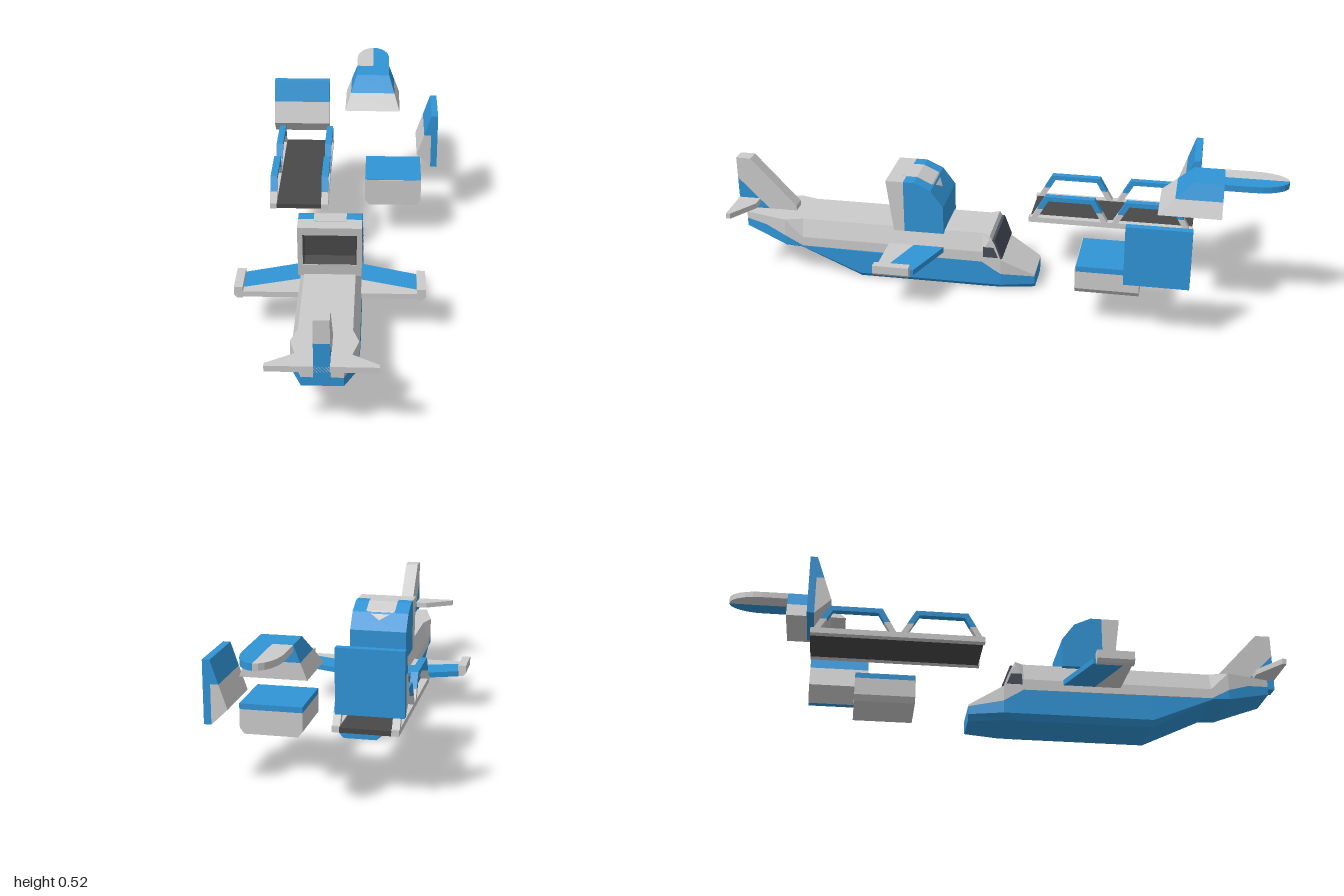
import * as THREE from 'three';

const mat = (color) => new THREE.MeshStandardMaterial({ color, flatShading: true });
const grey = mat(0xcccccc), blue = mat(0x3094d6), dark = mat(0x484848), glass = mat(0x474c58);

// Skin between matching convex cross-sections, capped at both ends
function loft(parent, name, material, sections) {
  const tris = [], n = sections[0].length, last = sections[sections.length - 1], first = sections[0];
  for (let k = 0; k + 1 < sections.length; k++)
    for (let i = 0; i < n; i++) {
      const j = (i + 1) % n, a = sections[k], b = sections[k + 1];
      tris.push([a[i], b[i], a[j]], [a[j], b[i], b[j]]);
    }
  for (let i = 1; i + 1 < n; i++) tris.push([first[0], first[i], first[i + 1]], [last[0], last[i + 1], last[i]]);
  // Turn all faces outward using the signed volume
  const v = (p) => new THREE.Vector3(...p);
  const o = v(first[0]);
  let volume = 0;
  for (const [a, b, c] of tris) volume += v(a).sub(o).dot(v(b).sub(o).cross(v(c).sub(o)));
  if (volume < 0) tris.forEach((t) => t.reverse());
  const g = new THREE.BufferGeometry();
  g.setAttribute('position', new THREE.Float32BufferAttribute(tris.flat(2), 3));
  g.computeVertexNormals();
  const mesh = new THREE.Mesh(g, material);
  mesh.name = name;
  parent.add(mesh);
  return mesh;
}
// Prisms: profile [z,y] along x, plan [x,z] along y, profile [x,y] along z
const prismX = (p, name, m, pts, x0, x1) => loft(p, name, m, [x0, x1].map((x) => pts.map(([z, y]) => [x, y, z])));
const prismY = (p, name, m, pts, y0, y1) => loft(p, name, m, [y0, y1].map((y) => pts.map(([x, z]) => [x, y, z])));
const prismZ = (p, name, m, pts, z0, z1) => loft(p, name, m, [z0, z1].map((z) => pts.map(([x, y]) => [x, y, z])));
const box = (p, name, m, x0, x1, y0, y1, z0, z1) =>
  prismX(p, name, m, [[z0, y0], [z1, y0], [z1, y1], [z0, y1]], x0, x1);

function group(parent, name, x = 0, y = 0, z = 0) {
  const g = new THREE.Group();
  g.name = name;
  g.position.set(x, y, z);
  parent.add(g);
  return g;
}

function buildFuselage(p) {
  // z, half bottom, bottom y, chamfer y, half side, top y
  loft(p, 'lowerHull', blue, [
    [0.96, 0.065, 0.16, 0.162, 0.065, 0.19], [0.88, 0.086, 0.137, 0.139, 0.0863, 0.18],
    [0.8, 0.1065, 0.113, 0.115, 0.1075, 0.15], [0.74, 0.1065, 0.11, 0.112, 0.1075, 0.115],
    [0.52, 0.087, 0, 0.02, 0.1075, 0.11], [0.06, 0.087, 0, 0.02, 0.1075, 0.11],
    [-0.01, 0.085, 0, 0.02, 0.1075, 0.065], [-0.13, 0.06, 0, 0.02, 0.077, 0.05],
  ].map(([z, hb, yb, yc, hs, yt]) => [[-hb, yb, z], [hb, yb, z], [hs, yc, z], [hs, yt, z], [-hs, yt, z], [-hs, yc, z]]));
  // z, half side, bottom y, shoulder y, half top, top y
  loft(p, 'upperHull', grey, [
    [0.96, 0.065, 0.19, 0.214, 0.065, 0.216], [0.88, 0.0863, 0.18, 0.214, 0.0863, 0.216],
    [0.8, 0.1075, 0.15, 0.214, 0.1075, 0.216], [0.735, 0.1075, 0.115, 0.15, 0.087, 0.216],
    [0.06, 0.1075, 0.11, 0.15, 0.087, 0.216], [0.03, 0.1075, 0.09, 0.2, 0.105, 0.216],
    [0.012, 0.1075, 0.078, 0.18, 0.1075, 0.182], [-0.01, 0.1075, 0.065, 0.12, 0.107, 0.122],
    [-0.13, 0.077, 0.05, 0.054, 0.077, 0.056],
  ].map(([z, hs, yb, ym, ht, yt]) => [[-hs, yb, z], [hs, yb, z], [hs, ym, z], [ht, yt, z], [-ht, yt, z], [-hs, ym, z]]));
  // Cockpit windows
  prismX(p, 'windshield', glass, [[0.022, 0.2], [0.012, 0.2], [-0.015, 0.127], [0, 0.127]], -0.1065, 0.1065);
  for (const s of [-1, 1])
    prismX(p, 'sideWindow', glass, [[0.055, 0.13], [0.055, 0.17], [0.016, 0.17], [0, 0.13]], s * 0.09, s * 0.1085);
}

function buildTail(p) {
  prismX(p, 'finUpper', grey, [[1, 0.335], [1, 0.415], [0.945, 0.415], [0.78, 0.235], [0.78, 0.2], [0.87, 0.2]], -0.025, 0.025);
  prismX(p, 'finLower', blue, [[1, 0.335], [0.87, 0.2], [1, 0.2]], -0.025, 0.025);
  prismY(p, 'stabilizer', grey, [[-0.07, 0.92], [0.07, 0.92], [0.172, 0.985], [0.172, 1], [-0.172, 1], [-0.172, 0.985]], 0.235, 0.255);
}

function buildWing(p, s) {
  const flip = (pts) => pts.map(([x, y]) => [s * x, y]);
  prismY(p, 'wingFront', blue, flip([[0.09, 0.195], [0.297, 0.27], [0.297, 0.375], [0.09, 0.307]]), 0.135, 0.155);
  prismY(p, 'wingRear', grey, flip([[0.09, 0.307], [0.297, 0.375], [0.297, 0.405], [0.09, 0.405]]), 0.135, 0.155);
  prismZ(p, 'wingTip', grey, flip([[0.295, 0.134], [0.314, 0.134], [0.325, 0.145], [0.325, 0.175], [0.295, 0.175]]), 0.41, 0.28);
}

function buildEngine(p) {
  prismX(p, 'engineCowl', blue, [[0.345, 0.21], [0.345, 0.404], [0.305, 0.404], [0.245, 0.376], [0.2, 0.315], [0.2, 0.21]], -0.1075, 0.1075);
  // Slanted frame around the open rear
  const rear = (y) => 0.385 + (y - 0.215) * 0.13;
  const slab = (name, m, x0, x1, y0, y1, inset = 0) =>
    prismX(p, name, m, [[0.345, y0], [rear(y0) - inset, y0], [rear(y1) - inset, y1], [0.345, y1]], x0, x1);
  slab('engineSill', grey, -0.1075, 0.1075, 0.21, 0.255);
  slab('engineLintel', grey, -0.1075, 0.1075, 0.375, 0.404);
  for (const s of [-1, 1]) {
    slab('engineSide', grey, s * 0.0905, s * 0.1075, 0.255, 0.375);
    slab('intakeLining', dark, s * 0.0865, s * 0.0905, 0.255, 0.375, 0.003);
  }
  box(p, 'intakeBack', dark, -0.09, 0.09, 0.255, 0.375, 0.34, 0.35);
  prismX(p, 'intakeFloor', dark, [[0.345, 0.255], [0.387, 0.255], [0.345, 0.272]], -0.09, 0.09);
  box(p, 'intakeRoof', dark, -0.09, 0.09, 0.372, 0.376, 0.345, 0.4);
  // Arrow-shaped top panel following the curve
  loft(p, 'topPanel', grey, [[0.36, 0.406, 0.055], [0.305, 0.406, 0.055], [0.25, 0.381, 0.055], [0.225, 0.352, 0.002]]
    .map(([z, y, h]) => [[-h, y - 0.012, z], [h, y - 0.012, z], [h, y, z], [-h, y, z]]));
}

function buildDeck(p) {
  box(p, 'deckFloor', dark, -0.083, 0.083, 0.22, 0.237, -0.685, -0.095);
  for (const s of [-1, 1]) {
    const a = s * 0.0825, b = s * 0.1075;
    box(p, 'deckRail', grey, a, b, 0.22, 0.24, -0.685, -0.09);
    for (const c of [-0.24, -0.535]) {
      box(p, 'guardTop', blue, a, b, 0.308, 0.325, c - 0.09, c + 0.09);
      for (const e of [-1, 1]) {
        const pt = (y, inset) => [c + e * (0.15 - (y - 0.22) * 0.571 - inset), y];
        const leg = (name, m, y0, y1) =>
          prismX(p, name, m, [pt(y0, 0), pt(y1, 0), pt(y1, 0.022), pt(y0, 0.022)], a, b);
        leg('guardLegLower', grey, 0.22, 0.275);
        leg('guardLegUpper', blue, 0.275, 0.325);
      }
    }
  }
}

// Wedge-backed panel: slab at the back, ridge pointing to +z
function buildPanel(p) {
  box(p, 'panelSlab', blue, -0.11, 0.11, 0, 0.215, -0.025, 0);
  prismX(p, 'panelWedgeUpper', blue, [[0, 0.215], [0.027, 0.135], [0, 0.135]], -0.11, 0.11);
  prismX(p, 'panelWedgeLower', grey, [[0, 0.135], [0.027, 0.135], [0.055, 0.053], [0, 0]], -0.11, 0.11);
}

function buildBox(p) {
  prismZ(p, 'boxBody', grey, [[-0.1075, 0.22], [-0.1075, 0.155], [-0.092, 0.135], [0.092, 0.135], [0.1075, 0.155], [0.1075, 0.22]], -0.525, -0.305);
  box(p, 'boxLid', blue, -0.1075, 0.1075, 0.22, 0.24, -0.525, -0.308);
  box(p, 'boxLidEdge', grey, -0.1075, 0.1075, 0.22, 0.239, -0.308, -0.305);
}

function buildCowl(p) {
  const ring = (t) => {
    const h = 0.1075 - 0.0425 * t, y = 0.415 + 0.11 * t, z = -0.57 - 0.11 * t;
    return [[-h, y, z], [h, y, z], [h, y, -0.785], [-h, y, -0.785]];
  };
  loft(p, 'cowlBase', grey, [ring(0), ring(0.5)]);
  loft(p, 'cowlTop', blue, [ring(0.5), ring(1)]);
  // Two-tone tongue with a rounded end
  for (const s of [-1, 1]) {
    const plan = [[0, -0.785], [s * 0.065, -0.785]];
    for (let i = 0; i <= 6; i++) {
      const a = (i / 6) * Math.PI / 2;
      plan.push([s * 0.065 * Math.cos(a), -0.88 - 0.12 * Math.sin(a)]);
    }
    prismY(p, 'cowlTongue', s < 0 ? grey : blue, plan, 0.503, 0.525);
  }
}

export function createModel() {
  const root = new THREE.Group();
  root.name = 'aircraftKit';
  const plane = group(root, 'aircraft', -0.033);
  buildFuselage(plane);
  buildTail(plane);
  buildEngine(plane);
  for (const s of [-1, 1]) buildWing(group(plane, s > 0 ? 'leftWing' : 'rightWing'), s);

  buildDeck(group(root, 'deck', -0.1675));
  buildPanel(group(root, 'rearPanel', -0.185, 0.285, -0.675));
  const side = group(root, 'sidePanel', 0.33, 0.22, -0.585);
  side.rotation.y = -Math.PI / 2;
  buildPanel(side);
  buildBox(group(root, 'storageBox', 0.1825));
  buildCowl(group(root, 'cowl', 0.098));
  return root;
}
